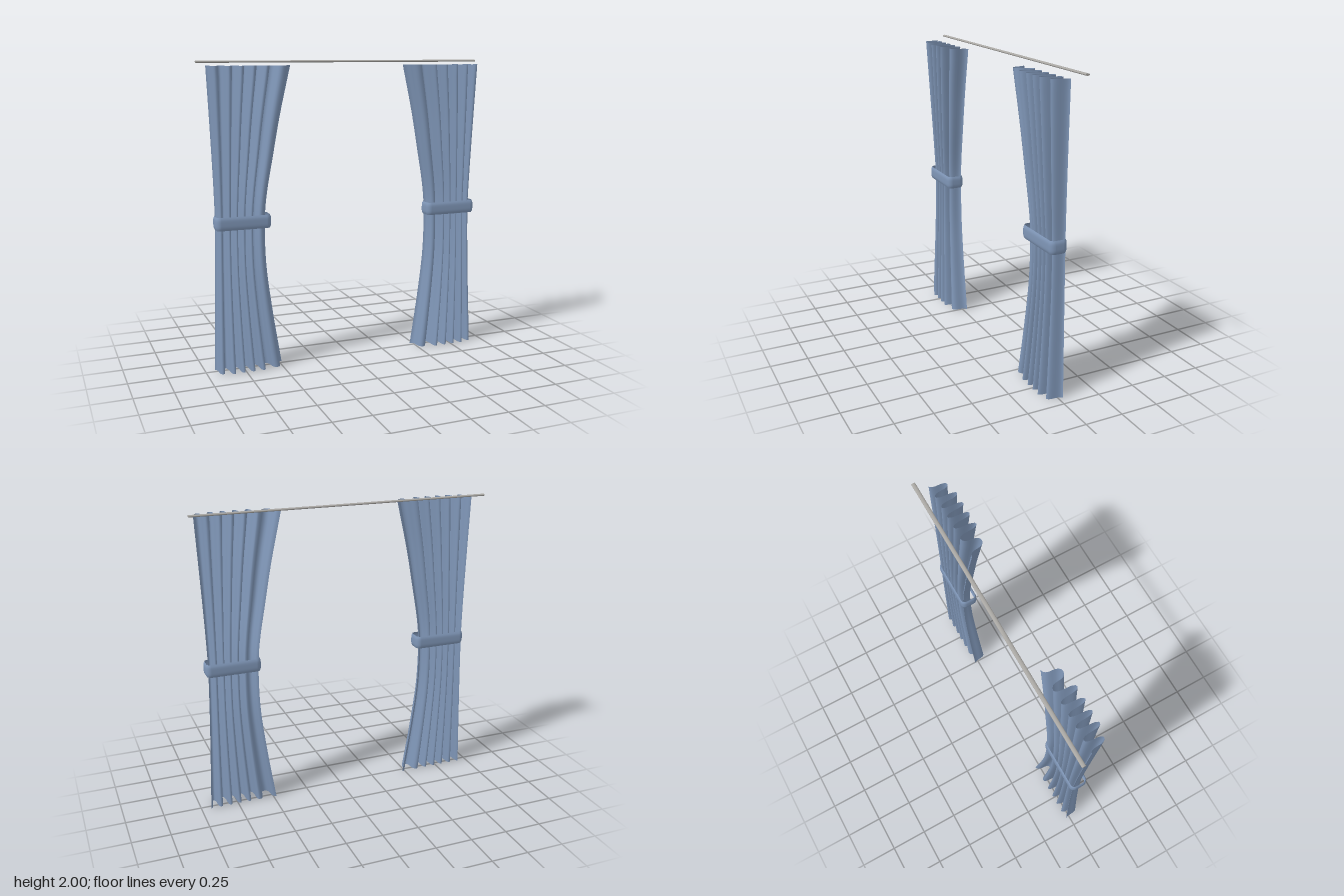
import * as THREE from 'three';

const fabric = new THREE.MeshStandardMaterial({ color: 0x7f96b7, side: THREE.DoubleSide });
fabric.name = 'blue fabric';
const metal = new THREE.MeshStandardMaterial({ color: 0xa8a6a2 });
metal.name = 'grey metal';

// Curtain outline by height: [y, inner x, outer x, front z, back z]
const OUTLINE = [
  [0, 0.48, 0.937, 0.09, -0.03],
  [0.4, 0.54, 0.922, 0.07, -0.033],
  [0.7, 0.573, 0.912, 0.058, -0.035],
  [1.0, 0.575, 0.906, 0.055, -0.035],
  [1.15, 0.56, 0.908, 0.062, -0.033],
  [1.4, 0.515, 0.916, 0.076, -0.029],
  [1.65, 0.468, 0.926, 0.09, -0.025],
  [1.97, 0.395, 0.94, 0.108, -0.02],
];
// Fold boundaries from the outer edge to the inner edge
const FOLDS = [0, 0.156, 0.303, 0.44, 0.587, 0.743, 1];

// Grid surface from a function of (column, row) giving [x, y, z]
function gridGeometry(cols, rows, side, point) {
  const pos = [], idx = [];
  for (let r = 0; r <= rows; r++) {
    for (let c = 0; c <= cols; c++) {
      const [x, y, z] = point(c, r);
      pos.push(side * x, y, z);
    }
  }
  for (let r = 0; r < rows; r++) {
    for (let c = 0; c < cols; c++) {
      const a = r * (cols + 1) + c, b = a + 1, d = a + cols + 1, e = d + 1;
      if (side > 0) idx.push(a, d, b, b, d, e);
      else idx.push(a, b, d, b, e, d);
    }
  }
  const g = new THREE.BufferGeometry();
  g.setAttribute('position', new THREE.Float32BufferAttribute(pos, 3));
  g.setIndex(idx);
  g.computeVertexNormals();
  return g;
}

function curtainGeometry(side) {
  const perFold = 16, rows = 28;
  const xs = new THREE.CatmullRomCurve3(OUTLINE.map(([y, i, o]) => new THREE.Vector3(i, y, o)));
  const zs = new THREE.CatmullRomCurve3(OUTLINE.map(([y, , , f, b]) => new THREE.Vector3(f, y, b)));
  return gridGeometry(6 * perFold, rows, side, (c, r) => {
    const a = xs.getPoint(r / rows), b = zs.getPoint(r / rows);
    const fold = Math.min(5, Math.floor(c / perFold));
    const t = c / perFold - fold;
    // Steep-sided wave: each fold swings forward and back
    const s = t + 0.068 * Math.sin(4 * Math.PI * t);
    const u = THREE.MathUtils.lerp(FOLDS[fold], FOLDS[fold + 1], s);
    const swing = 0.5 - 0.5 * Math.cos(2 * Math.PI * t);
    const front = b.x - (fold === 0 || fold === 5 ? 0.18 * (b.x - b.z) : 0);
    return [THREE.MathUtils.lerp(a.z, a.x, u), a.y, THREE.MathUtils.lerp(b.z, front, swing)];
  });
}

// Rounded loop of cloth with a slightly bulging section
function tiebackGeometry(side) {
  const cx = 0.738, cz = 0.01, hw = 0.182, hd = 0.06, radius = 0.034, arc = 6;
  const loop = [];
  [[1, 1], [-1, 1], [-1, -1], [1, -1]].forEach(([sx, sz], q) => {
    for (let i = 0; i <= arc; i++) {
      const a = (q + i / arc) * Math.PI / 2;
      loop.push([sx * (hw - radius), sz * (hd - radius), Math.cos(a), Math.sin(a)]);
    }
  });
  loop.push(loop[0]);
  const rows = 8;
  return gridGeometry(loop.length - 1, rows, side, (c, r) => {
    const v = (r / rows) * 2 - 1;
    const reach = radius - 0.008 * v ** 4;
    const [x, z, nx, nz] = loop[c];
    return [cx + x + nx * reach, 0.987 + 0.043 * v, cz + z + nz * reach];
  });
}

export function createModel() {
  const model = new THREE.Group();
  model.name = 'curtains';
  const add = (name, geometry, material) => {
    const mesh = new THREE.Mesh(geometry, material);
    mesh.name = name;
    model.add(mesh);
    return mesh;
  };

  // Gathered curtains and their tiebacks
  for (const [label, side] of [['left', 1], ['right', -1]]) {
    add(label + 'Curtain', curtainGeometry(side), fabric);
    add(label + 'Tieback', tiebackGeometry(side), fabric);
  }

  // Slim oval rod behind the curtains
  const rod = new THREE.CylinderGeometry(1, 1, 1.97, 16);
  rod.rotateZ(Math.PI / 2);
  rod.scale(1, 0.007, 0.013);
  rod.translate(0, 1.993, -0.097);
  add('curtainRod', rod, metal);

  return model;
}
